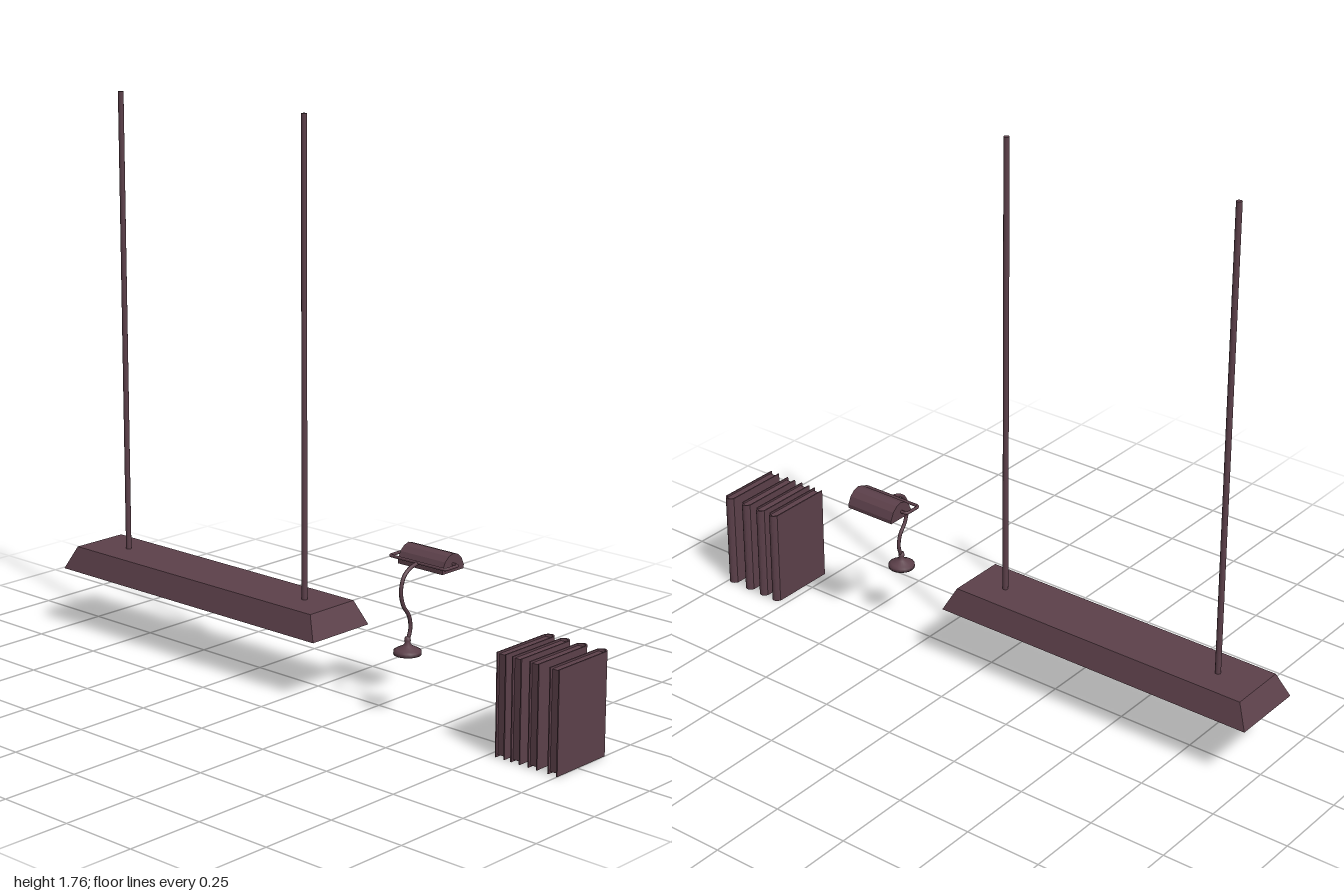
import * as THREE from 'three';

const material = new THREE.MeshStandardMaterial({ color: 0x5c404a, side: THREE.DoubleSide });

function add(parent, name, geometry, x = 0, y = 0, z = 0) {
  const mesh = new THREE.Mesh(geometry, material);
  mesh.name = name;
  mesh.position.set(x, y, z);
  parent.add(mesh);
  return mesh;
}

function group(parent, name, x = 0, y = 0, z = 0) {
  const g = new THREE.Group();
  g.name = name;
  g.position.set(x, y, z);
  parent.add(g);
  return g;
}

// Joins rectangular rings [halfX, y, halfZ] into a faceted skin
function loftRects(rings) {
  const corners = [[-1, 1], [1, 1], [1, -1], [-1, -1]];
  const points = rings.map(([hx, y, hz]) => corners.map(([sx, sz]) => [sx * hx, y, sz * hz]));
  const pos = [];
  for (let r = 0; r < points.length - 1; r++) {
    for (let i = 0; i < 4; i++) {
      const j = (i + 1) % 4, a = points[r], b = points[r + 1];
      pos.push(...a[i], ...b[i], ...b[j], ...a[i], ...b[j], ...a[j]);
    }
  }
  const g = new THREE.BufferGeometry();
  g.setAttribute('position', new THREE.Float32BufferAttribute(pos, 3));
  g.computeVertexNormals();
  return g;
}

// Hanging light: hollow trough, two tubes, two suspension rods
function hangingLight(parent) {
  const light = group(parent, 'hangingLight', -0.021, 0, -0.443);
  add(light, 'troughShade', loftRects([
    [0, 0.275, 0], [0.096, 0.275, 0.52], [0.123, 0.2, 0.557],
    [0.116, 0.2, 0.55], [0.091, 0.268, 0.514], [0, 0.268, 0],
  ]));
  for (const s of [-1, 1]) {
    const tube = new THREE.CylinderGeometry(0.016, 0.016, 0.96, 16).rotateX(Math.PI / 2);
    add(light, 'lightTube', tube, s * 0.042, 0.238, 0);
    add(light, 'tubeHolder', new THREE.BoxGeometry(0.13, 0.048, 0.014), 0, 0.244, s * 0.485);
    add(light, 'suspensionRod', new THREE.CylinderGeometry(0.009, 0.009, 1.49, 12), 0.003, 1.015, 0.01 + s * 0.393);
  }
}

// Desk lamp: weighted foot, curved neck, yoke and arched shade
function deskLamp(parent) {
  const lamp = group(parent, 'deskLamp', 0, 0, 0.383);
  const foot = [[0, 0], [0.042, 0], [0.042, 0.011], [0.034, 0.016], [0.014, 0.026],
    [0.008, 0.034], [0.01, 0.042], [0.008, 0.052], [0, 0.054]];
  add(lamp, 'foot', new THREE.LatheGeometry(foot.map(p => new THREE.Vector2(...p)), 20), -0.024, 0.2, 0);

  const neck = [[-0.024, 0.24], [-0.012, 0.275], [-0.018, 0.315], [-0.045, 0.355], [-0.055, 0.4],
    [-0.042, 0.442], [-0.015, 0.462], [0.016, 0.47]];
  const neckCurve = new THREE.CatmullRomCurve3(neck.map(([x, y]) => new THREE.Vector3(x, y, 0)));
  add(lamp, 'neck', new THREE.TubeGeometry(neckCurve, 40, 0.006, 8));

  // Yoke wraps around both ends of the shade
  const v = (x, z) => new THREE.Vector3(x, 0.472, z);
  const corner = [v(0.016, 0.098), v(0.016, 0.108), v(0.027, 0.108)];
  const tip = [v(0.064, 0.108), v(0.075, 0.108), v(0.075, 0.098)];
  for (const s of [-1, 1]) {
    const side = p => p.clone().setZ(p.z * s);
    const path = new THREE.CurvePath();
    path.add(new THREE.LineCurve3(v(0.016, 0), side(corner[0])));
    path.add(new THREE.QuadraticBezierCurve3(...corner.map(side)));
    path.add(new THREE.LineCurve3(side(corner[2]), side(tip[0])));
    path.add(new THREE.QuadraticBezierCurve3(...tip.map(side)));
    path.add(new THREE.LineCurve3(side(tip[2]), side(v(0.075, 0.07))));
    add(lamp, 'yokeArm', new THREE.TubeGeometry(path, 60, 0.005, 8));
  }

  // Arched shade, open below
  const outer = [[-0.048, 0], [-0.048, 0.012], [-0.037, 0.036], [-0.02, 0.05], [0, 0.056],
    [0.02, 0.05], [0.037, 0.036], [0.048, 0.012], [0.048, 0]];
  const inner = outer.map(([x, y]) => [x * 0.9, y * 0.92]).reverse();
  const toShape = pts => new THREE.Shape(pts.map(p => new THREE.Vector2(...p)));
  const extrude = (pts, depth) => new THREE.ExtrudeGeometry(toShape(pts), { depth, bevelEnabled: false });
  const shade = group(lamp, 'shade', 0.077, 0.449, 0);
  add(shade, 'shadeArch', extrude([...outer, ...inner], 0.174), 0, 0, -0.087);
  for (const z of [-0.087, 0.083]) add(shade, 'shadeEnd', extrude(outer, 0.004), 0, 0, z);
  add(shade, 'bulb', new THREE.CapsuleGeometry(0.013, 0.1, 6, 14).rotateX(Math.PI / 2), 0, 0.023, 0);
}

// Book: folded cover with rounded spine around an inset page block
function book(parent, z) {
  const b = group(parent, 'book', 0, 0, z);
  const h = 0.0175, t = 0.004;
  const cover = new THREE.Shape();
  cover.moveTo(-0.092, -h);
  cover.lineTo(0.127, -h);
  cover.quadraticCurveTo(0.153, 0, 0.127, h);
  cover.lineTo(-0.092, h);
  cover.lineTo(-0.092, h - t);
  cover.lineTo(0.124, h - t);
  cover.quadraticCurveTo(0.146, 0, 0.124, t - h);
  cover.lineTo(-0.092, t - h);
  cover.closePath();
  const geo = new THREE.ExtrudeGeometry(cover, { depth: 0.315, bevelEnabled: false, curveSegments: 8 });
  add(b, 'cover', geo.rotateX(-Math.PI / 2));
  add(b, 'pages', new THREE.BoxGeometry(0.21, 0.303, 2 * (h - t)), 0.021, 0.1575, 0);
}

export function createModel() {
  const model = new THREE.Group();
  model.name = 'lampsAndBooks';
  hangingLight(model);
  deskLamp(model);
  for (const z of [0.793, 0.849, 0.911, 0.9825]) book(model, z);
  return model;
}
